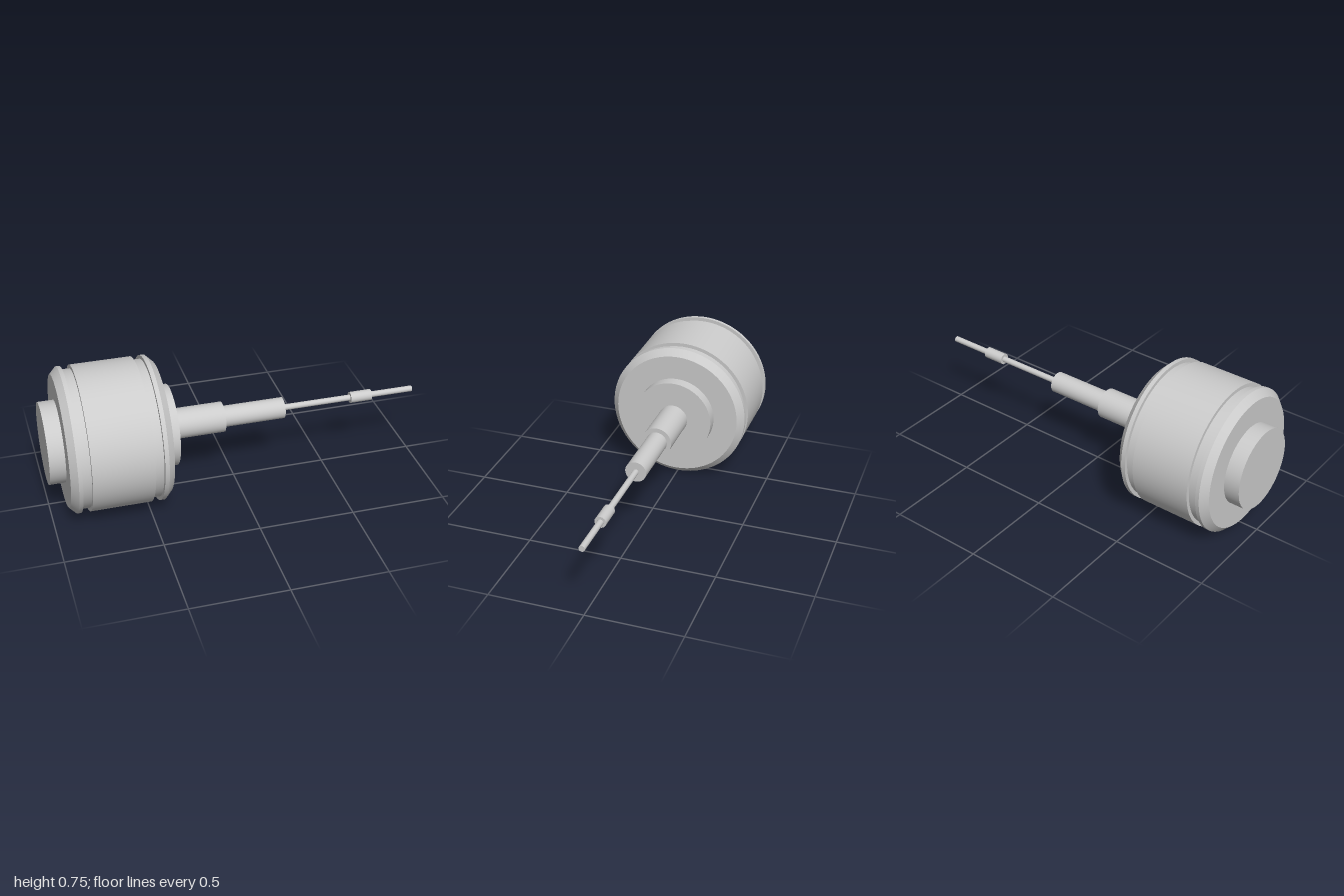
import * as THREE from 'three';
import { toCreasedNormals } from 'three/addons/utils/BufferGeometryUtils.js';

const AXIS_Y = 0.378;

export function createModel() {
  const group = new THREE.Group();
  const material = new THREE.MeshStandardMaterial({ color: 0xcccccc });

  // Place a solid of revolution along the x axis
  function add(name, geometry, x = 0) {
    const mesh = new THREE.Mesh(geometry, material);
    mesh.name = name;
    mesh.rotation.z = -Math.PI / 2;
    mesh.position.set(x, AXIS_Y, 0);
    group.add(mesh);
  }

  function rod(name, radius, x0, x1, segments = 48) {
    add(name, new THREE.CylinderGeometry(radius, radius, x1 - x0, segments), (x0 + x1) / 2);
  }

  // Drum with chamfered rims and a groove near each end: [radius, x]
  const R = 0.377, GROOVE = 0.358, RIM = 0.342;
  const profile = [
    [0, -0.918], [RIM, -0.918], [R, -0.883], [R, -0.863],
    [GROOVE, -0.863], [GROOVE, -0.815], [R, -0.815],
    [R, -0.5], [GROOVE, -0.5], [GROOVE, -0.453],
    [R, -0.453], [R, -0.431], [RIM, -0.396], [0, -0.396],
  ].map(([r, x]) => new THREE.Vector2(r, x));
  add('drum', toCreasedNormals(new THREE.LatheGeometry(profile, 96), Math.PI / 7));

  // End bosses
  rod('rearBoss', 0.212, -1, -0.918, 96);
  rod('frontBoss', 0.212, -0.396, -0.334, 96);

  // Stepped shaft and thin needle with its collar
  rod('thickShaft', 0.08, -0.334, -0.06);
  rod('middleShaft', 0.056, -0.06, 0.27);
  rod('needle', 0.016, 0.27, 1);
  rod('needleCollar', 0.03, 0.646, 0.764);

  return group;
}
